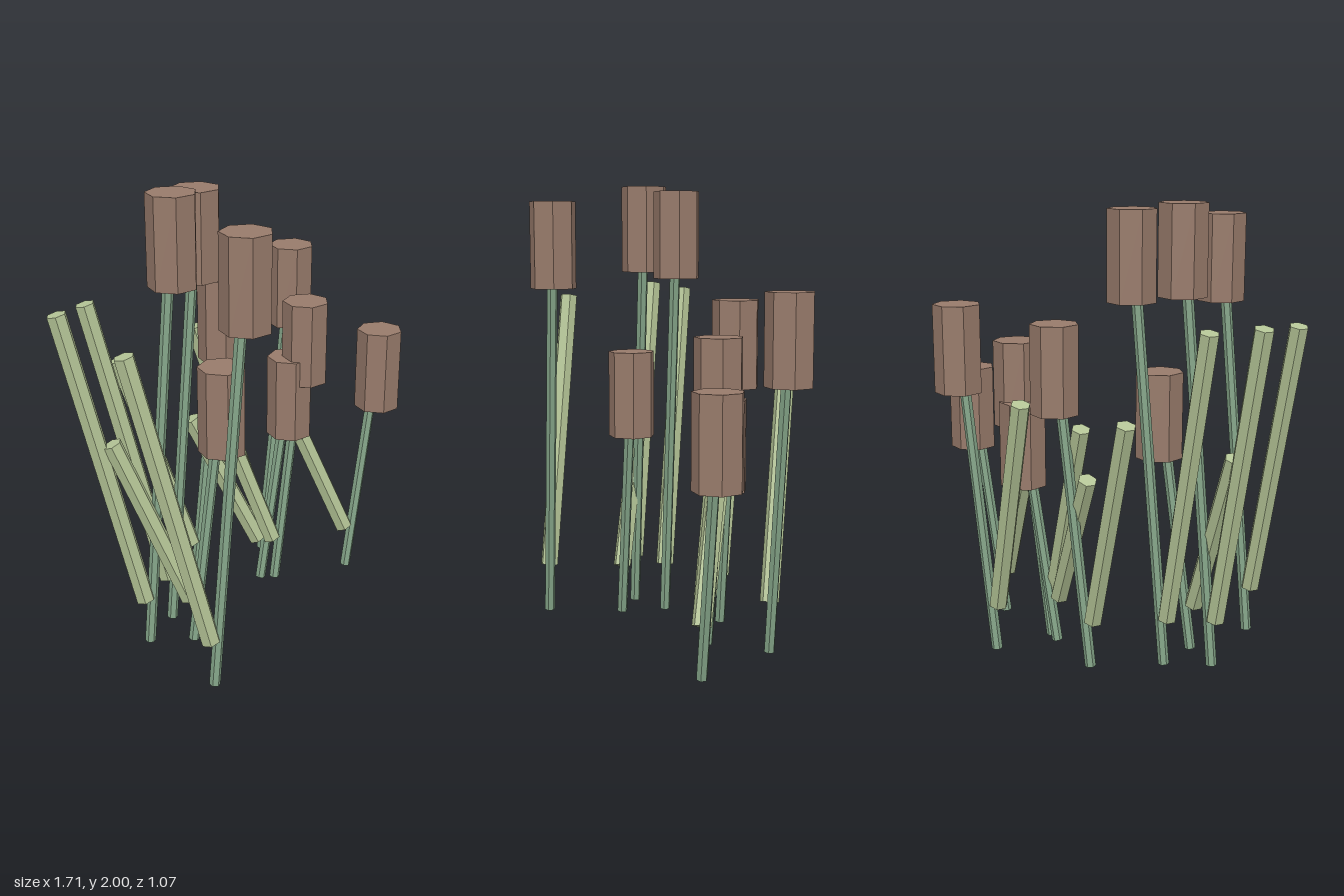
import * as THREE from 'three';

const UP = new THREE.Vector3(0, 1, 0);
const mat = (color) => new THREE.MeshStandardMaterial({ color, flatShading: true });

// Straight six-sided rod between two points, with a corner across the lean direction
function rod(name, from, to, radius, material) {
  const dir = to.clone().sub(from);
  const geo = new THREE.CylinderGeometry(radius, radius, dir.length(), 6);
  geo.rotateY(Math.atan2(-dir.z, dir.x));
  const mesh = new THREE.Mesh(geo, material);
  mesh.name = name;
  mesh.position.copy(from).add(to).multiplyScalar(0.5);
  mesh.quaternion.setFromUnitVectors(UP, dir.normalize());
  return mesh;
}

export function createModel() {
  const group = new THREE.Group();
  group.name = 'cattails';
  const brown = mat(0x987b6b);
  const stemGreen = mat(0x84a488);
  const leafGreen = mat(0xb4c496);

  // Seed head: upright seven-sided prism, one corner to the back
  const HEAD = 0.385;
  const headGeo = new THREE.CylinderGeometry(0.105, 0.105, HEAD, 7);
  headGeo.rotateY(Math.PI);

  // Each plant: head x, head z, top height
  const plants = [
    [0.54, -0.315, 1.56], [0.08, -0.265, 1.505], [-0.187, -0.085, 1.975],
    [-0.375, 0.007, 2.0], [-0.217, 0.12, 1.265], [-0.352, 0.443, 1.93],
    [0.353, -0.1, 1.11], [0.408, -0.06, 1.375], [0.753, 0.075, 1.2],
  ];

  for (const [x, z, top] of plants) {
    const plant = new THREE.Group();
    plant.name = 'cattail';

    const head = new THREE.Mesh(headGeo, brown);
    head.name = 'seedHead';
    head.position.set(x, top - HEAD / 2, z);

    // Stem leans toward +x and ends inside the head
    const stem = rod('stem', new THREE.Vector3(x - 0.17, 0.004, z),
      new THREE.Vector3(x, top - 0.1, z), 0.024, stemGreen);

    // Leaf leans away to the back right
    const leaf = rod('leaf', new THREE.Vector3(x - 0.185, 0.22, z - 0.004),
      new THREE.Vector3(x - 0.44, top * 0.772, z - 0.18), 0.042, leafGreen);

    plant.add(head, stem, leaf);
    group.add(plant);
  }
  return group;
}
